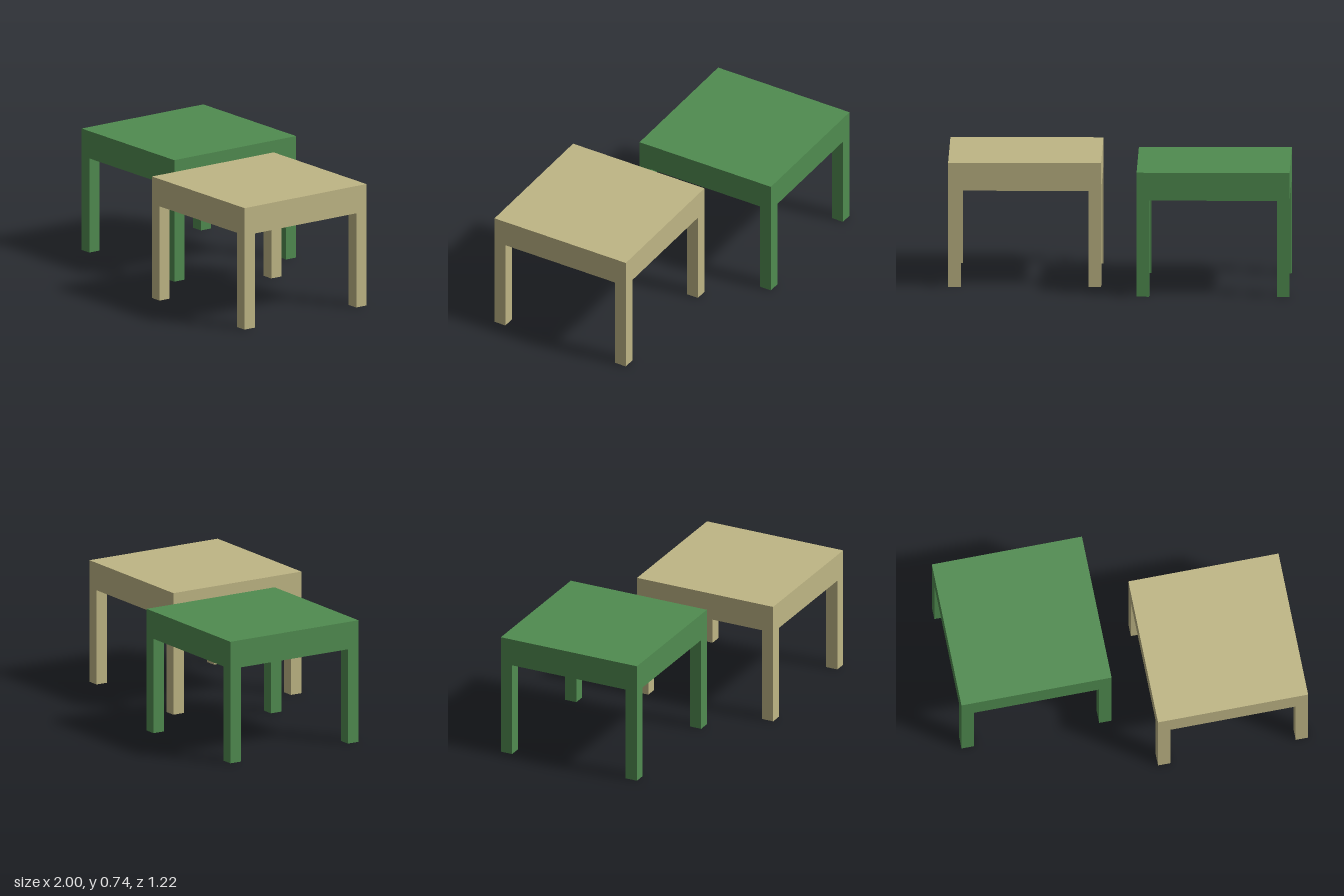
import * as THREE from 'three';

const SIZE = 0.894, HEIGHT = 0.735, LEG_HEIGHT = 0.57, LEG = 0.074;

function box(name, w, h, d, x, y, z, material) {
  const mesh = new THREE.Mesh(new THREE.BoxGeometry(w, h, d), material);
  mesh.name = name;
  mesh.position.set(x, y, z);
  return mesh;
}

// Square table: thick solid top on four corner legs
function createTable(name, color) {
  const table = new THREE.Group();
  table.name = name;
  const material = new THREE.MeshStandardMaterial({ color });
  const thickness = HEIGHT - LEG_HEIGHT;
  table.add(box('tableTop', SIZE, thickness, SIZE, 0, LEG_HEIGHT + thickness / 2, 0, material));

  const offset = (SIZE - LEG) / 2;
  for (const [side, sx] of [['Left', 1], ['Right', -1]]) {
    for (const [end, sz] of [['front', 1], ['back', -1]]) {
      table.add(box(`${end}${side}Leg`, LEG, LEG_HEIGHT, LEG,
        sx * offset, LEG_HEIGHT / 2, sz * offset, material));
    }
  }
  return table;
}

export function createModel() {
  const model = new THREE.Group();
  model.name = 'tablePair';

  // Two matching tables, staggered diagonally
  const greenTable = createTable('greenTable', 0x508c50);
  greenTable.position.set(-0.553, 0, -0.163);
  const tanTable = createTable('tanTable', 0xbfb685);
  tanTable.position.set(0.553, 0, 0.163);

  model.add(greenTable, tanTable);
  return model;
}
